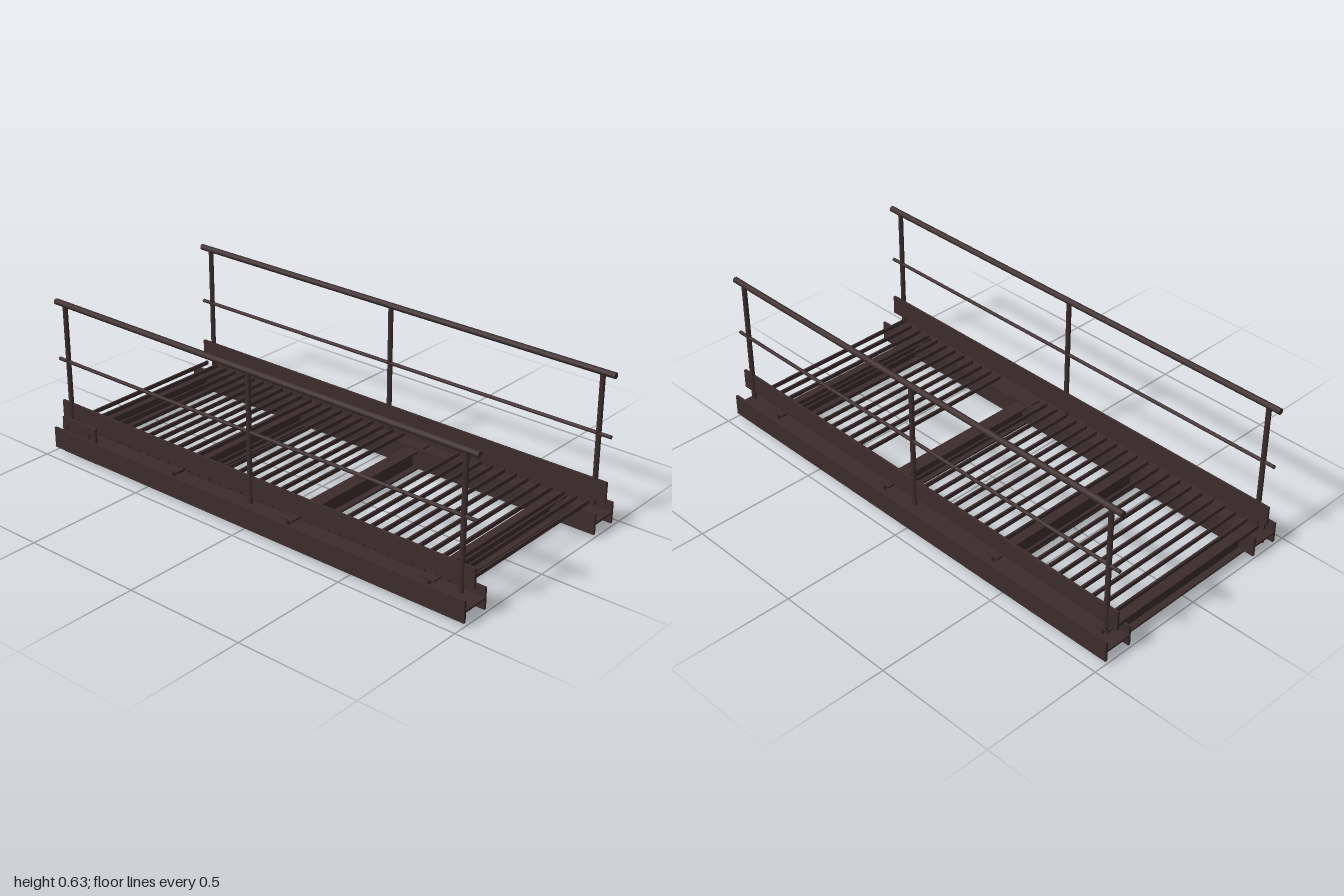
import * as THREE from 'three';

export function createModel() {
  const model = new THREE.Group();
  model.name = 'walkway';
  const steel = new THREE.MeshStandardMaterial({ color: 0x3b2c2d });
  steel.name = 'dark brown steel';

  const add = (parent, name, geometry, x, y, z) => {
    const mesh = new THREE.Mesh(geometry, steel);
    mesh.name = name;
    mesh.position.set(x, y, z);
    parent.add(mesh);
    return mesh;
  };
  const box = (parent, name, w, h, d, x, y, z) =>
    add(parent, name, new THREE.BoxGeometry(w, h, d), x, y, z);
  const rail = (parent, name, r, y, z) =>
    add(parent, name, new THREE.CylinderGeometry(r, r, 2, 12).rotateZ(Math.PI / 2), 0, y, z);

  // Both long sides: H-beam lying on its side, toe board and railing
  for (const s of [1, -1]) {
    const side = new THREE.Group();
    side.name = s > 0 ? 'frontSide' : 'backSide';
    model.add(side);
    box(side, 'outerFlange', 2, 0.085, 0.01, 0, 0.057, s * 0.447);
    box(side, 'innerFlange', 2, 0.085, 0.01, 0, 0.057, s * 0.333);
    box(side, 'beamWeb', 2, 0.009, 0.106, 0, 0.057, s * 0.39);
    box(side, 'toeBoard', 2, 0.08, 0.01, 0, 0.16, s * 0.396);
    rail(side, 'handrail', 0.012, 0.616, s * 0.4);
    rail(side, 'midRail', 0.007, 0.378, s * 0.4);
    for (const x of [-0.95, 0, 0.947]) {
      add(side, 'railPost', new THREE.CylinderGeometry(0.01, 0.01, 0.52, 12), x, 0.352, s * 0.4);
    }
  }

  // I-beams across the underside
  for (const x of [-0.93, -0.404, 0.173, 0.805]) {
    const beam = new THREE.Group();
    beam.name = 'crossBeam';
    beam.position.x = x;
    model.add(beam);
    box(beam, 'topFlange', 0.058, 0.008, 0.8, 0, 0.086, 0);
    box(beam, 'bottomFlange', 0.058, 0.008, 0.8, 0, 0.014, 0);
    box(beam, 'web', 0.008, 0.066, 0.8, 0, 0.05, 0);
  }

  // Floor grating, with some bars missing
  for (let i = 0; i <= 36; i++) {
    if (i > 20 && i < 25) continue;
    box(model, 'gratingBar', 0.008, 0.016, 0.768, -0.972 + i * 0.053, 0.107, 0);
  }

  // Bolted plate at one front corner
  const plate = new THREE.Group();
  plate.name = 'boltedPlate';
  model.add(plate);
  box(plate, 'plate', 0.185, 0.15, 0.01, -0.875, 0.075, 0.43);
  for (const x of [-0.937, -0.813]) {
    for (const y of [0.12, 0.032]) {
      add(plate, 'bolt', new THREE.CylinderGeometry(0.013, 0.013, 0.01, 6).rotateX(Math.PI / 2), x, y, 0.449);
      add(plate, 'boltShank', new THREE.CylinderGeometry(0.006, 0.006, 0.02, 8).rotateX(Math.PI / 2), x, y, 0.437);
    }
  }

  return model;
}
